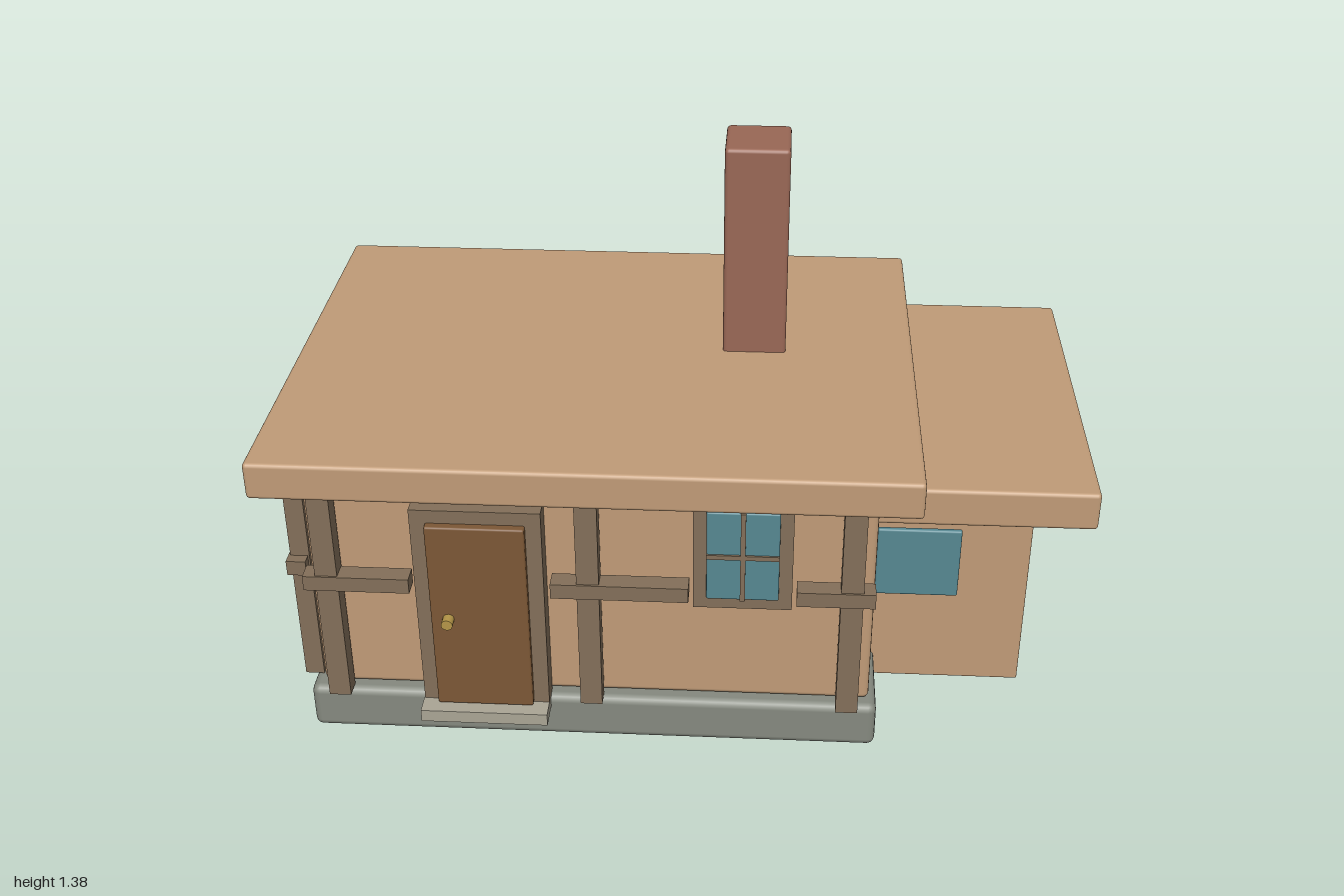
import * as THREE from 'three';
import { RoundedBoxGeometry } from 'three/addons/geometries/RoundedBoxGeometry.js';

const mat = (color) => new THREE.MeshStandardMaterial({ color });

export function createModel() {
  const model = new THREE.Group();
  model.name = 'cottage';
  const plaster = mat(0xc19c78), stone = mat(0x868a80), brick = mat(0x9a6856), timber = mat(0x84705a);
  const doorWood = mat(0x7d5836), glass = mat(0x568892), brass = mat(0xb59648), slab = mat(0xaba696);

  // Box given by its minimum and maximum corners; r rounds the edges
  function box(parent, name, material, [x0, y0, z0], [x1, y1, z1], r = 0) {
    const size = [x1 - x0, y1 - y0, z1 - z0];
    const geometry = r ? new RoundedBoxGeometry(...size, 2, r) : new THREE.BoxGeometry(...size);
    const mesh = new THREE.Mesh(geometry, material);
    mesh.position.set((x0 + x1) / 2, (y0 + y1) / 2, (z0 + z1) / 2);
    mesh.name = name;
    parent.add(mesh);
    return mesh;
  }

  // Main house
  box(model, 'foundation', stone, [-0.93, 0.004, -0.53], [0.49, 0.128, 0.53], 0.02);
  box(model, 'walls', plaster, [-0.9, 0.13, -0.5], [0.47, 0.73, 0.5], 0.015);
  box(model, 'roof', plaster, [-1, 0.735, -0.6], [0.565, 0.83, 0.6], 0.01);
  box(model, 'chimney', brick, [0.08, 0.7, -0.18], [0.24, 1.38, -0.01], 0.01);

  // Side annex
  box(model, 'annexWalls', plaster, [0.26, 0.05, -0.43], [0.865, 0.595, 0.297], 0.006);
  box(model, 'annexRoof', plaster, [0.13, 0.605, -0.56], [0.995, 0.705, 0.425], 0.01);
  box(model, 'annexWindow', glass, [0.48, 0.33, 0.314], [0.688, 0.525, 0.329], 0.005);

  // Low blocks against the back wall
  for (const x of [0.085, -0.27])
    box(model, 'backBlock', plaster, [x - 0.12, 0, -0.537], [x + 0.12, 0.19, -0.4], 0.006);

  // Timbered facade, with z measured outward from the wall surface
  function facade(name, posts, rails, windows) {
    const group = new THREE.Group();
    group.name = name;
    for (const x of posts)
      box(group, 'post', timber, [x - 0.027, 0.13, 0.008], [x + 0.027, 0.735, 0.055]);
    for (const [a, b] of rails)
      box(group, 'rail', timber, [a, 0.452, 0.012], [b, 0.492, 0.06]);
    for (const x of windows) {
      box(group, 'windowFrame', timber, [x - 0.118, 0.438, 0.01], [x + 0.118, 0.735, 0.055]);
      box(group, 'windowPane', glass, [x - 0.086, 0.472, 0.05], [x + 0.086, 0.717, 0.068], 0.004);
      box(group, 'verticalMuntin', timber, [x - 0.006, 0.472, 0.06], [x + 0.006, 0.717, 0.073]);
      box(group, 'horizontalMuntin', timber, [x - 0.086, 0.589, 0.06], [x + 0.086, 0.601, 0.073]);
    }
    model.add(group);
    return group;
  }
  const front = facade('frontFacade', [-0.848, -0.217, 0.414],
    [[-0.905, -0.648], [-0.307, 0.024], [0.282, 0.47]], [0.153]);
  front.position.z = 0.5;
  const side = facade('sideFacade', [-0.446, 0, 0.446],
    [[-0.5, -0.353], [-0.097, 0.097], [0.353, 0.5]], [-0.225, 0.225]);
  side.rotation.y = -Math.PI / 2;
  side.position.x = -0.9;

  // Entrance
  box(model, 'doorFrame', timber, [-0.634, 0.11, 0.5], [-0.322, 0.69, 0.555]);
  box(model, 'door', doorWood, [-0.597, 0.132, 0.54], [-0.36, 0.655, 0.575], 0.005);
  box(model, 'doorStep', slab, [-0.636, 0.097, 0.52], [-0.322, 0.13, 0.605]);
  const knob = new THREE.Mesh(new THREE.CylinderGeometry(0.014, 0.014, 0.03, 20), brass);
  knob.rotation.x = Math.PI / 2;
  knob.position.set(-0.554, 0.392, 0.587);
  knob.name = 'doorKnob';
  model.add(knob);

  return model;
}
